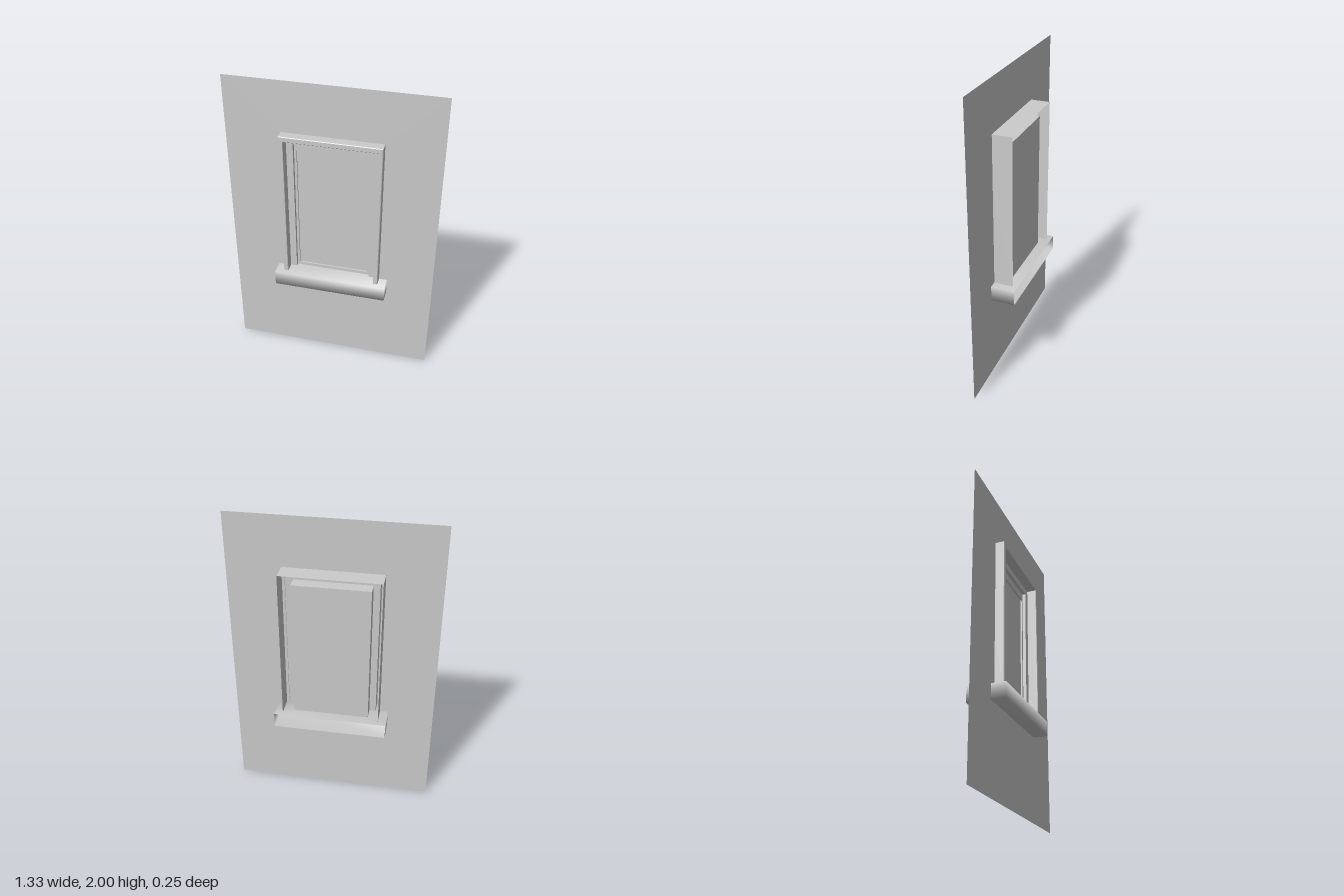
import * as THREE from 'three';
import { mergeVertices } from 'three/addons/utils/BufferGeometryUtils.js';

const BASE = 0.67; // top of the sill, where the window stands

const material = new THREE.MeshStandardMaterial({ color: 0xcccccc, side: THREE.DoubleSide });

function rect(Type, x0, y0, x1, y1, r = 0) {
  const p = new Type();
  if (r === 0) {
    p.moveTo(x0, y0).lineTo(x1, y0).lineTo(x1, y1).lineTo(x0, y1).closePath();
    return p;
  }
  p.moveTo(x0 + r, y0).lineTo(x1 - r, y0).quadraticCurveTo(x1, y0, x1, y0 + r);
  p.lineTo(x1, y1 - r).quadraticCurveTo(x1, y1, x1 - r, y1);
  p.lineTo(x0 + r, y1).quadraticCurveTo(x0, y1, x0, y1 - r);
  p.lineTo(x0, y0 + r).quadraticCurveTo(x0, y0, x0 + r, y0);
  return p;
}

// Sweeps a stepped section [half width, top, z] up one side, across and down the other
function sweptFrame(section) {
  const pos = [], index = [];
  for (const [w, top, z] of section) {
    pos.push(-w, BASE, z, -w, top, z, w, top, z, w, BASE, z);
  }
  for (let i = 0; i < section.length - 1; i++) {
    for (let j = 0; j < 3; j++) {
      const a = i * 4 + j, b = a + 4;
      index.push(a, b, a + 1, b, b + 1, a + 1);
    }
  }
  const g = new THREE.BufferGeometry();
  g.setAttribute('position', new THREE.Float32BufferAttribute(pos, 3));
  g.setIndex(index);
  const flat = g.toNonIndexed();
  flat.computeVertexNormals();
  return flat;
}

export function createModel() {
  const model = new THREE.Group();
  const add = (name, geometry, x = 0, y = 0, z = 0) => {
    const mesh = new THREE.Mesh(geometry, material);
    mesh.name = name;
    mesh.position.set(x, y, z);
    model.add(mesh);
  };

  // Thin wall sheet with the window opening
  const wall = rect(THREE.Shape, -0.667, 0, 0.667, 2);
  wall.holes.push(rect(THREE.Path, -0.3, BASE, 0.3, 1.65));
  add('wall', new THREE.ShapeGeometry(wall), 0, 0, 0.03);

  // Casing: outer shell, front trim, reveal, inner step and sash pocket
  add('casing', sweptFrame([
    [0.317, 1.67, -0.095],
    [0.317, 1.67, 0.087],
    [0.313, 1.666, 0.091],
    [0.291, 1.639, 0.091],
    [0.288, 1.636, 0.088],
    [0.288, 1.636, 0.026],
    [0.246, 1.595, 0.026],
    [0.246, 1.595, -0.055],
  ]));

  // Sash with a softly rounded opening
  const sash = rect(THREE.Shape, -0.245, BASE, 0.245, 1.594);
  sash.holes.push(rect(THREE.Path, -0.23, 0.69, 0.23, 1.547, 0.012));
  add('sash', new THREE.ExtrudeGeometry(sash, { depth: 0.055, bevelEnabled: false, curveSegments: 4 }), 0, 0, -0.05);

  // Pane in the sash, and the flat panel closing the pocket behind it
  add('pane', new THREE.PlaneGeometry(0.48, 0.9), 0, 1.13, -0.006);
  add('backPanel', new THREE.PlaneGeometry(0.492, 0.925), 0, 1.1325, -0.055);

  // Sill: a box left open at the back, shaded softly across its edges
  let sill = new THREE.BoxGeometry(0.738, 0.1, 0.25);
  sill.setIndex(Array.from(sill.index.array).slice(0, 30));
  sill.deleteAttribute('normal');
  sill.deleteAttribute('uv');
  sill = mergeVertices(sill);
  sill.computeVertexNormals();
  add('sill', sill, 0, 0.62, 0);

  return model;
}
